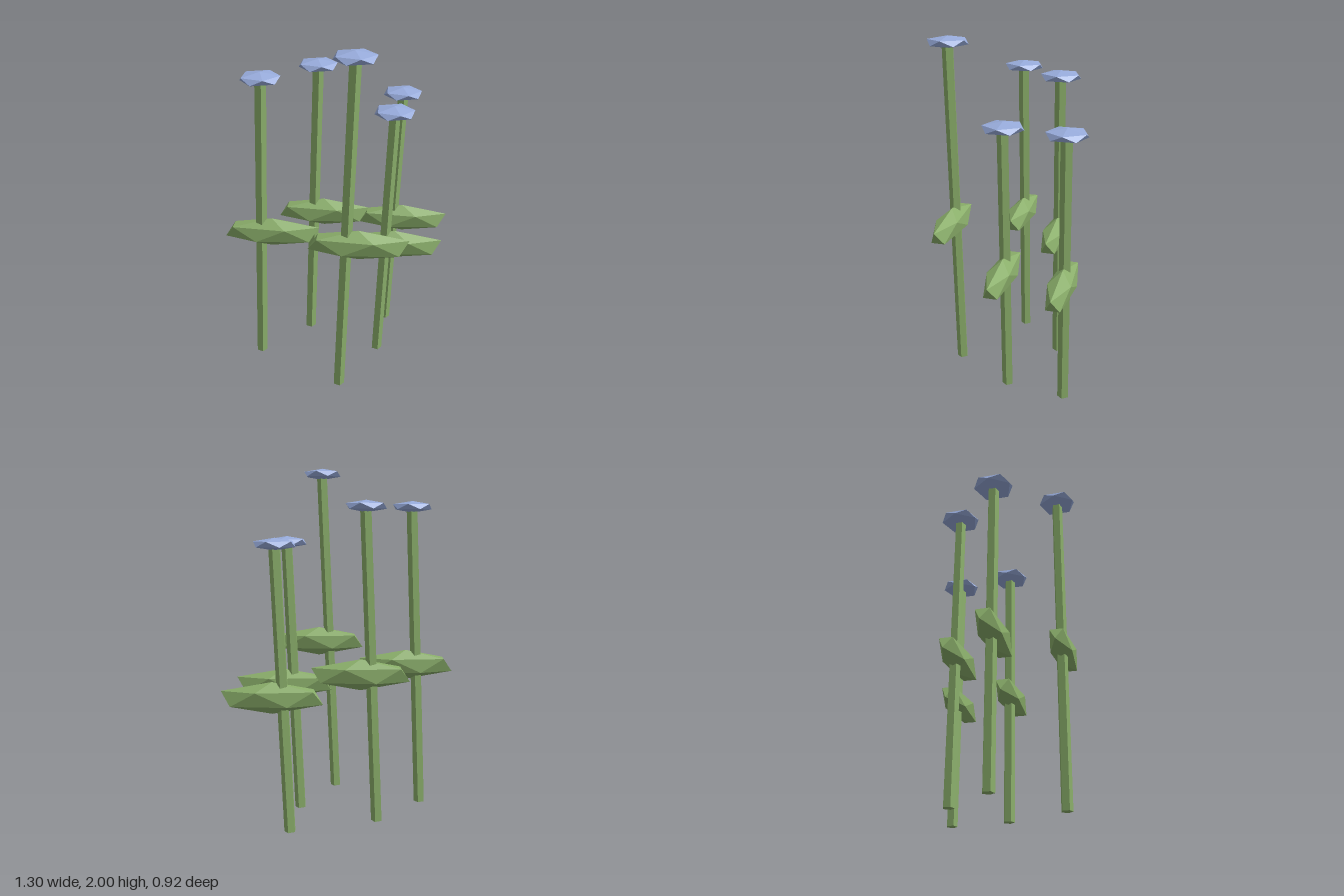
import * as THREE from 'three';
import { ConvexGeometry } from 'three/addons/geometries/ConvexGeometry.js';

const LEAN = 0.04; // sideways drift of a stem per unit of height

// Faceted ball with a vertex at each pole and two rings of five, squashed to size
function facetedBall(rx, ry, rz) {
  const points = [new THREE.Vector3(0, 1, 0), new THREE.Vector3(0, -1, 0)];
  const h = 1 / Math.sqrt(5), r = 2 * h;
  for (let i = 0; i < 5; i++) {
    const a = (i * 2 * Math.PI) / 5, b = a + Math.PI / 5;
    points.push(new THREE.Vector3(r * Math.cos(a), h, r * Math.sin(a)));
    points.push(new THREE.Vector3(r * Math.cos(b), -h, r * Math.sin(b)));
  }
  const geometry = new ConvexGeometry(points);
  geometry.scale(rx, ry, rz);
  geometry.computeVertexNormals();
  return geometry;
}

export function createModel() {
  const model = new THREE.Group();
  model.name = 'flowerPatch';

  const green = new THREE.MeshStandardMaterial({ color: 0x8aae6a, flatShading: true });
  green.name = 'leafGreen';
  const blue = new THREE.MeshStandardMaterial({ color: 0x98acdc, flatShading: true });
  blue.name = 'petalBlue';

  const flowerGeometry = facetedBall(0.123, 0.033, 0.123);
  const leafGeometry = facetedBall(0.306, 0.0875, 0.074);

  // Flower x, flower z, flower height
  const plants = [
    [0.118, 0.353, 1.967],
    [-0.402, 0.078, 1.77],
    [-0.128, -0.208, 1.77],
    [0.31, -0.009, 1.574],
    [0.35, -0.354, 1.574],
  ];

  for (const [x, z, height] of plants) {
    const plant = new THREE.Group();
    plant.name = 'plant';

    // Leaning five-sided stem
    const length = height * Math.hypot(1, LEAN);
    const stem = new THREE.Mesh(
      new THREE.CylinderGeometry(0.033, 0.033, length, 5, 1, false, Math.PI / 2), green);
    stem.name = 'stem';
    stem.rotation.z = -Math.atan(LEAN);
    stem.position.set(-height * LEAN / 2, height / 2, 0);

    // Long leaf around the middle of the stem
    const leaf = new THREE.Mesh(leafGeometry, green);
    leaf.name = 'leaf';
    leaf.position.set(0.026, height * 0.481, 0);

    // Flat flower head
    const flower = new THREE.Mesh(flowerGeometry, blue);
    flower.name = 'flowerHead';
    flower.position.y = height;

    plant.add(stem, leaf, flower);
    plant.position.set(x, 0, z);
    model.add(plant);
  }
  return model;
}
